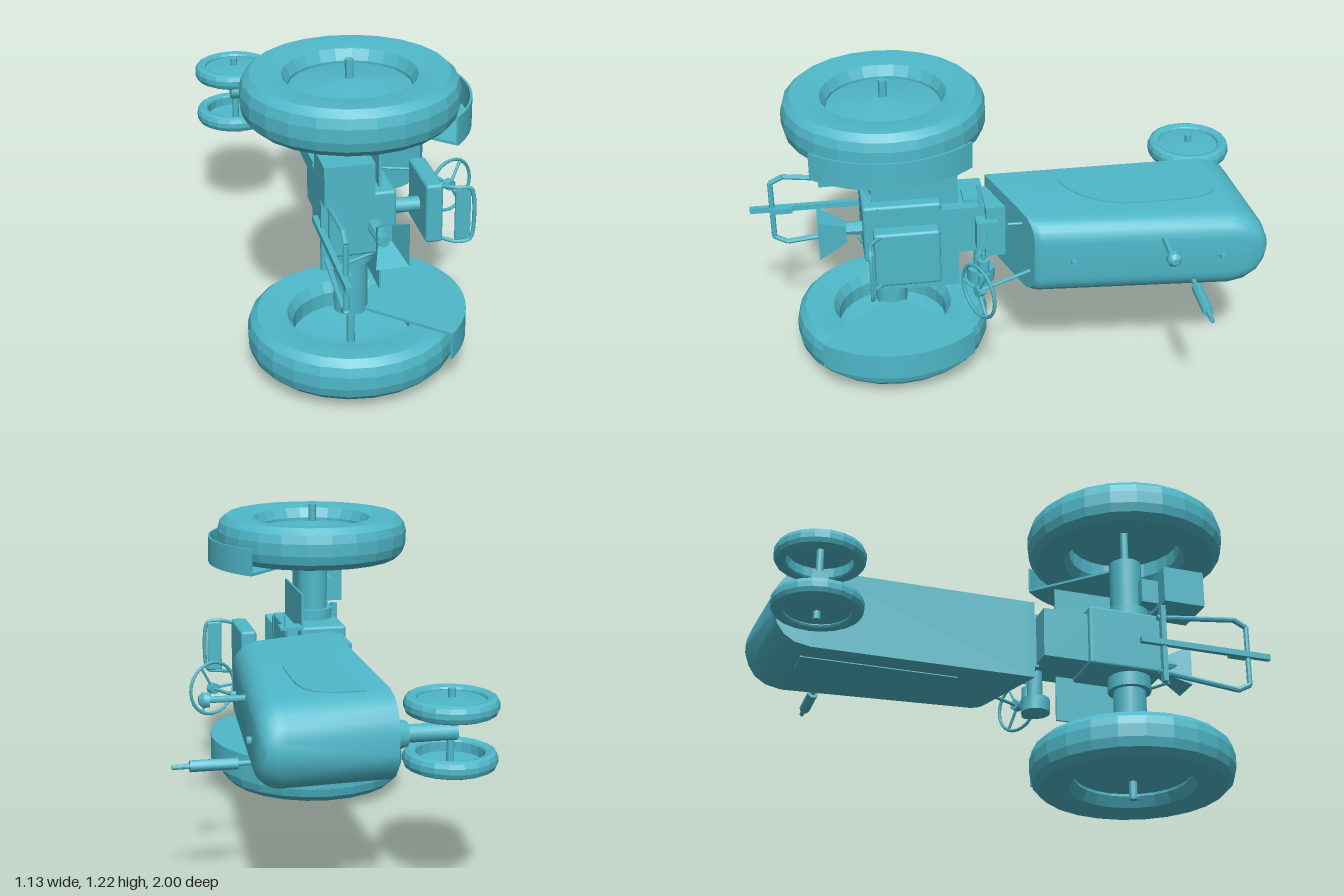
import * as THREE from 'three';
import { toCreasedNormals } from 'three/addons/utils/BufferGeometryUtils.js';
import { RoundedBoxGeometry } from 'three/addons/geometries/RoundedBoxGeometry.js';

// Tractor lying on its side: its top points to +x, its nose to -z, its axles run along y.
const MID = 0.61;
const V = (x, y, z) => new THREE.Vector3(x, y, z);

export function createModel() {
  const model = new THREE.Group();
  const paint = new THREE.MeshStandardMaterial({ color: 0x4fb8c9, side: THREE.DoubleSide });
  paint.name = 'tealPaint';

  const add = (name, geo, x = 0, y = 0, z = 0) => {
    const m = new THREE.Mesh(geo, paint);
    m.name = name;
    m.position.set(x, y, z);
    model.add(m);
    return m;
  };
  const crease = (g, a = 0.5) => toCreasedNormals(g, a);
  // box given by its limits
  const box = (name, x0, x1, y0, y1, z0, z1, r = 0) => add(name,
    r ? new RoundedBoxGeometry(x1 - x0, y1 - y0, z1 - z0, 2, r) : new THREE.BoxGeometry(x1 - x0, y1 - y0, z1 - z0),
    (x0 + x1) / 2, (y0 + y1) / 2, (z0 + z1) / 2);
  // straight round rod between two points
  const rod = (name, a, b, r0, r1 = r0, sides = 12) => {
    const d = b.clone().sub(a);
    const m = add(name, crease(new THREE.CylinderGeometry(r1, r0, d.length(), sides), 0.7));
    m.position.copy(a).addScaledVector(d, 0.5);
    m.quaternion.setFromUnitVectors(V(0, 1, 0), d.normalize());
    return m;
  };
  const lathe = (pts, n) => crease(new THREE.LatheGeometry(pts.map(p => new THREE.Vector2(...p)), n), 0.2);

  // hood: rounded-top cross-sections [base z, top z, half width, top x]
  const stations = [[0.06, -0.075, 0.16, 0.235], [0.035, -0.1, 0.16, 0.252], [-0.81, -0.84, 0.16, 0.308],
    [-0.87, -0.9, 0.148, 0.307], [-0.91, -0.945, 0.122, 0.3], [-0.937, -0.972, 0.085, 0.285], [-0.95, -0.987, 0.04, 0.255]];
  const base = -0.18, pos = [], idx = [];
  let n = 0;
  for (const [zb, zt, w, top] of stations) {
    const r = Math.min(0.085, w * 0.9), sec = [[base, -w]];
    for (let i = 0; i <= 5; i++) {
      const a = i * Math.PI / 10;
      sec.push([top - r + r * Math.sin(a), -w + r - r * Math.cos(a)]);
    }
    for (let i = 6; i >= 0; i--) sec.push([sec[i][0], -sec[i][1]]);
    n = sec.length;
    for (const [x, y] of sec) pos.push(x, MID + y, zb + (zt - zb) * (x - base) / (top - base));
  }
  const last = (stations.length - 1) * n;
  for (let s = 0; s < stations.length - 1; s++) {
    for (let i = 0; i < n; i++) {
      const a = s * n + i, b = s * n + (i + 1) % n;
      idx.push(a, b, a + n, b, b + n, a + n);
    }
  }
  for (let i = 1; i < n - 1; i++) idx.push(0, i + 1, i, last, last + i, last + i + 1);
  const hood = new THREE.BufferGeometry();
  hood.setAttribute('position', new THREE.Float32BufferAttribute(pos, 3));
  hood.setIndex(idx);
  add('hood', crease(hood, 0.6));

  // side panels on the hood
  const panel = new THREE.Shape();
  panel.moveTo(-0.09, 0.83);
  panel.lineTo(0.02, 0.83);
  panel.bezierCurveTo(0.1, 0.82, 0.13, 0.76, 0.13, 0.66);
  panel.lineTo(0.13, 0.5);
  panel.bezierCurveTo(0.13, 0.36, 0.03, 0.24, -0.09, 0.22);
  panel.closePath();
  const panelGeo = new THREE.ExtrudeGeometry(panel, { depth: 0.006, bevelEnabled: false, curveSegments: 8 });
  panelGeo.rotateX(-Math.PI / 2);
  for (const y of [MID - 0.164, MID + 0.158]) add('sidePanel', panelGeo, 0, y, 0);

  // exhaust, air intake and caps on top of the hood
  rod('exhaustPipe', V(0.28, 0.495, -0.695), V(0.567, 0.495, -0.695), 0.009);
  rod('muffler', V(0.335, 0.495, -0.695), V(0.505, 0.495, -0.695), 0.021);
  rod('intakePipe', V(0.27, 0.695, -0.57), V(0.42, 0.695, -0.57), 0.012);
  rod('intakeCap', V(0.415, 0.695, -0.57), V(0.437, 0.695, -0.57), 0.028);
  rod('intakeCapTop', V(0.437, 0.695, -0.57), V(0.452, 0.695, -0.57), 0.028, 0.014);
  rod('radiatorCap', V(0.29, MID, -0.8), V(0.322, MID, -0.8), 0.014);
  rod('fuelCap', V(0.25, MID, -0.225), V(0.284, MID, -0.225), 0.014);

  // transmission, axle housings, platform
  box('gearCase', -0.28, -0.03, 0.495, 0.742, 0.25, 0.56, 0.012);
  box('clutchCase', -0.26, -0.03, 0.51, 0.71, 0.07, 0.26);
  box('bellHousing', -0.17, 0, 0.5, 0.72, -0.03, 0.08);
  rod('axleHousing', V(-0.178, 0.22, 0.45), V(-0.178, 1.0, 0.45), 0.064, 0.064, 16);
  rod('axleFlange', V(-0.178, 0.44, 0.45), V(-0.178, 0.785, 0.45), 0.085, 0.085, 16);
  rod('rearAxle', V(-0.178, 0, 0.45), V(-0.178, 1.22, 0.45), 0.016);
  box('platform', -0.086, -0.077, 0.326, 0.895, 0.18, 0.52);
  box('toolbox', -0.33, -0.15, 0.785, 0.935, 0.55, 0.72);
  box('toolboxBracket', -0.27, -0.2, 0.8, 0.9, 0.48, 0.56);

  // wheels and fenders, mirrored across the middle
  const tire = lathe([[0.222, -0.035], [0.243, -0.075], [0.3, -0.085], [0.357, -0.085], [0.383, -0.06], [0.393, -0.025],
    [0.393, 0.025], [0.383, 0.06], [0.357, 0.085], [0.3, 0.085], [0.243, 0.075], [0.222, 0.035], [0.222, -0.035]], 24);
  const rim = lathe([[0, 0.06], [0.222, 0.025]], 24);
  const frontTire = lathe([[0.122, -0.02], [0.126, -0.027], [0.147, -0.033], [0.161, -0.026], [0.168, -0.01],
    [0.168, 0.01], [0.161, 0.026], [0.147, 0.033], [0.126, 0.027], [0.122, 0.02], [0.122, -0.02]], 20);
  const frontRim = lathe([[0, 0.028], [0.122, 0.016]], 20);
  const R = 0.436, SPAN = 0.77;
  const sector = new THREE.Shape();
  sector.moveTo(0, 0);
  sector.lineTo(R * Math.cos(SPAN), -R * Math.sin(SPAN));
  sector.absarc(0, 0, R, -SPAN, SPAN, false);
  sector.lineTo(0, 0);
  const fenderSide = new THREE.ExtrudeGeometry(sector, { depth: 0.01, bevelEnabled: false, curveSegments: 10 });
  const lip = new THREE.Shape();
  lip.absarc(0, 0, R, -SPAN, SPAN, false);
  lip.absarc(0, 0, R - 0.008, SPAN, -SPAN, true);
  const fenderTop = crease(new THREE.ExtrudeGeometry(lip, { depth: 0.105, bevelEnabled: false, curveSegments: 10 }));

  for (const s of [-1, 1]) {
    const flip = s < 0 ? Math.PI : 0;
    add('rearTire', tire, -0.175, MID + s * 0.4825, 0.45);
    add('rearRim', rim, -0.175, MID + s * 0.4825, 0.45).rotation.x = flip;
    add('frontTire', frontTire, -0.395, MID + s * 0.0975, -0.832);
    add('frontRim', frontRim, -0.395, MID + s * 0.0975, -0.832).rotation.x = flip;
    const turn = -s * Math.PI / 2;
    add('fenderSide', fenderSide, -0.18, MID + s * 0.375, 0.45).rotation.x = turn;
    add('fenderTop', fenderTop, -0.18, MID + s * 0.378, 0.45).rotation.x = turn;
    // hitch links
    rod('liftRod', V(-0.285, MID + s * 0.155, 0.57), V(-0.03, MID + s * 0.12, 0.5), 0.006);
  }
  rod('frontAxle', V(-0.395, 0.455, -0.832), V(-0.395, 0.765, -0.832), 0.014);
  rod('frontPedestal', V(-0.415, MID, -0.832), V(-0.22, MID, -0.832), 0.033);
  rod('pedestalCollar', V(-0.235, MID, -0.832), V(-0.17, MID, -0.832), 0.045, 0.065);

  // hitch frame, drawbar and flared shaft guard at the back
  const frame = [V(-0.29, 0.495, 0.53), V(-0.297, 0.458, 0.86), V(-0.3, 0.485, 0.91), V(-0.3, 0.735, 0.91),
    V(-0.297, 0.762, 0.86), V(-0.29, 0.725, 0.53)];
  for (let i = 0; i < 5; i++) rod('hitchFrame', frame[i], frame[i + 1], 0.011, 0.011, 8);
  box('hitchCrossbar', -0.31, -0.285, 0.45, 0.775, 0.54, 0.56);
  box('drawbar', -0.32, -0.3, 0.598, 0.622, 0.45, 1.0);
  box('drawbarClevis', -0.3, -0.28, 0.598, 0.622, 0.83, 0.92);
  const guardGeo = new THREE.CylinderGeometry(0.12, 0.05, 0.11, 4, 1, true).rotateY(Math.PI / 4).toNonIndexed();
  guardGeo.computeVertexNormals();
  const guard = add('shaftGuard', guardGeo, -0.09, MID, 0.68);
  guard.rotation.x = Math.PI / 2;
  guard.scale.x = 0.72;
  rod('powerShaft', V(-0.112, MID, 0.54), V(-0.112, MID, 0.69), 0.03, 0.022, 8);

  // seat with its stem and back hoop
  rod('seatStem', V(-0.04, MID, 0.42), V(0.1, MID, 0.42), 0.028);
  box('seatCushion', 0.09, 0.155, 0.495, 0.73, 0.275, 0.53, 0.012);
  box('seatBack', 0.195, 0.255, 0.505, 0.715, 0.535, 0.55, 0.006);
  const hoop = new THREE.CatmullRomCurve3([V(0.14, 0.505, 0.5), V(0.2, 0.5, 0.545), V(0.25, 0.505, 0.55),
    V(0.262, 0.53, 0.55), V(0.262, 0.69, 0.55), V(0.25, 0.715, 0.55), V(0.2, 0.72, 0.545), V(0.14, 0.715, 0.5)]);
  add('seatHoop', new THREE.TubeGeometry(hoop, 40, 0.008, 6));

  // steering wheel, column, instruments and levers
  const hub = V(0.295, 0.535, 0.15), axis = V(0.45, 0, 0.89).normalize();
  const ring = add('steeringWheel', new THREE.TorusGeometry(0.106, 0.007, 6, 24));
  ring.position.copy(hub);
  ring.quaternion.setFromUnitVectors(V(0, 0, 1), axis);
  const side = V(axis.z, 0, -axis.x);
  for (let i = 0; i < 3; i++) {
    const a = i * 2 * Math.PI / 3 + Math.PI;
    rod('spoke', hub, hub.clone().addScaledVector(side, 0.105 * Math.cos(a)).add(V(0, 0.105 * Math.sin(a), 0)), 0.006, 0.006, 6);
  }
  rod('steeringHub', hub.clone().addScaledVector(axis, -0.02), hub.clone().addScaledVector(axis, 0.01), 0.022);
  rod('steeringColumn', hub, V(0.19, 0.545, -0.08), 0.007);
  rod('gearLever', V(-0.02, MID, 0.07), V(0.155, MID, 0.13), 0.005);
  rod('gearKnob', V(0.15, MID, 0.128), V(0.17, MID, 0.135), 0.011);
  box('instrumentBox', -0.03, 0.03, 0.55, 0.67, 0.035, 0.12);
  rod('sideLever', V(0.13, 0.72, -0.06), V(0.13, 0.72, 0.015), 0.006);
  for (const x of [0.005, 0.055]) box('pedalArm', x - 0.0015, x + 0.0015, 0.75, 0.83, 0.1, 0.115);
  box('brakePlate', -0.065, 0.025, 0.768, 0.78, 0.1, 0.17);

  // pump and filter on the side
  rod('pumpUpper', V(-0.005, 0.425, 0.09), V(-0.005, 0.48, 0.09), 0.024);
  rod('pumpLower', V(-0.005, 0.36, 0.09), V(-0.005, 0.412, 0.09), 0.024);
  rod('pumpPin', V(-0.005, 0.4, 0.09), V(-0.005, 0.51, 0.09), 0.008);
  rod('filterCan', V(-0.095, 0.338, 0.09), V(-0.095, 0.395, 0.09), 0.056, 0.056, 16);
  rod('filterNeck', V(-0.09, 0.39, 0.09), V(-0.09, 0.52, 0.09), 0.03);
  return model;
}
